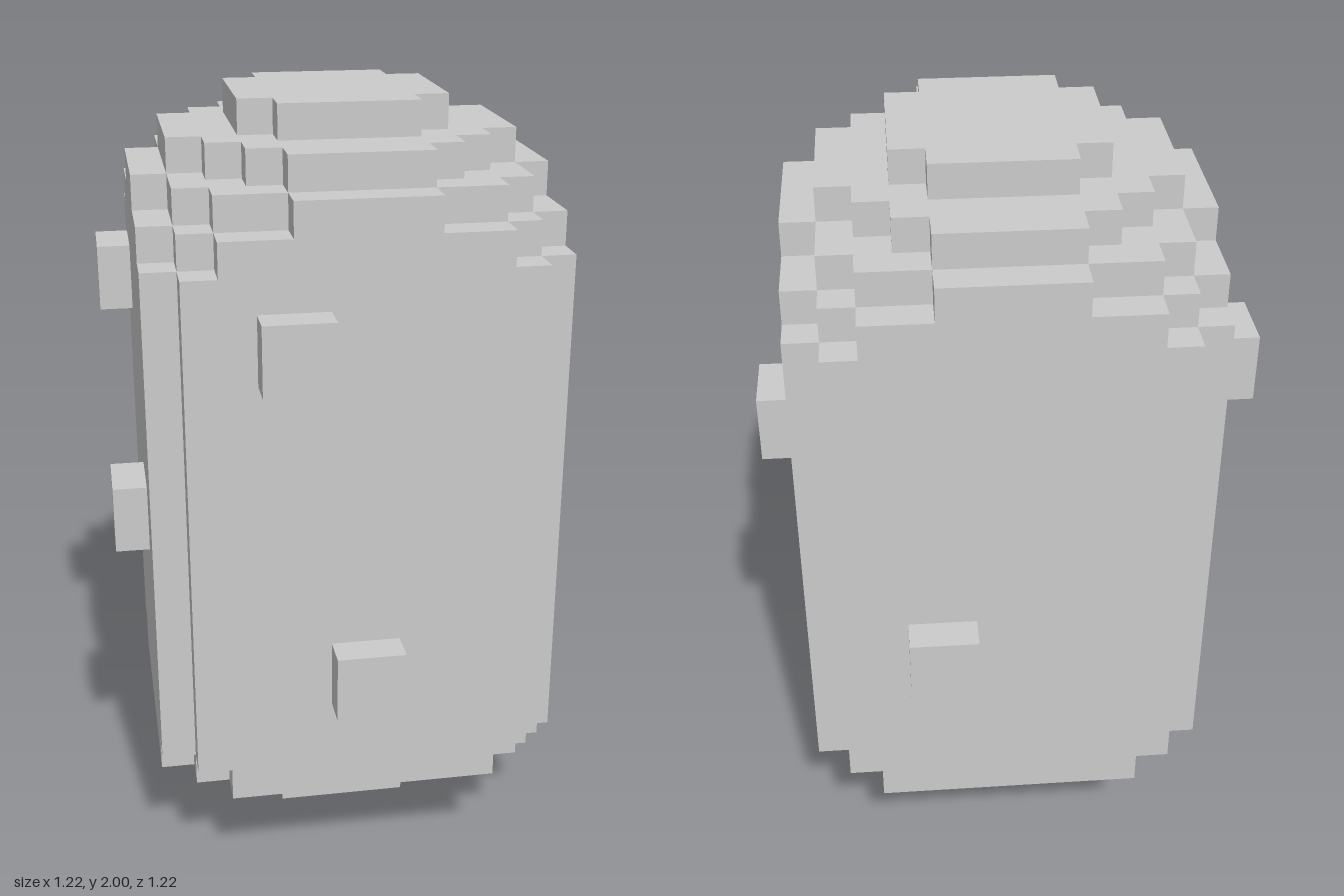
import * as THREE from 'three';

const U = 2 / 23; // one block

export function createModel() {
  const group = new THREE.Group();
  const material = new THREE.MeshStandardMaterial({ color: 0xcccccc, flatShading: true });

  const add = (name, geometry) => {
    const mesh = new THREE.Mesh(geometry, material);
    mesh.name = name;
    group.add(mesh);
  };

  // Box given by its lowest corner and size, in blocks
  const block = (name, [x, y, z], [w, h, d]) => {
    const geometry = new THREE.BoxGeometry(w * U, h * U, d * U);
    geometry.translate((x + w / 2) * U, (y + h / 2) * U, (z + d / 2) * U);
    add(name, geometry);
  };

  // Slab whose stepped corner outline is repeated in four quarter turns
  const layer = (name, y0, y1, corner) => {
    const points = [];
    for (let q = 0, turn = corner; q < 4; q++) {
      points.push(...turn.map(([x, y]) => new THREE.Vector2(x * U, y * U)));
      turn = turn.map(([x, y]) => [-y, x]);
    }
    const geometry = new THREE.ExtrudeGeometry(new THREE.Shape(points), {
      depth: (y1 - y0) * U, bevelEnabled: false,
    });
    geometry.rotateX(-Math.PI / 2);
    geometry.translate(0, y0 * U, 0);
    add(name, geometry);
  };

  // Stick below the body
  block('stick', [-2, 0, -2], [4, 3, 4]);

  // Body and its stepped, rounded top
  const rim = [[6, 4], [5, 4], [5, 5], [4, 5], [4, 6]];
  layer('bodyBottom', 3, 4, rim);
  layer('body', 4, 19, [[6, 5], [5, 5], [5, 6]]);
  layer('shoulderLower', 19, 20, rim);
  layer('shoulderUpper', 20, 21, [[6, 2], [5, 2], [5, 4], [4, 4], [4, 5], [2, 5], [2, 6]]);
  layer('crownLower', 21, 22, [[5, 2], [4, 2], [4, 3], [3, 3], [3, 4], [2, 4], [2, 5]]);
  layer('crownTop', 22, 23, [[3, 2], [2, 2], [2, 3]]);

  // Small bumps on the sides
  block('frontBumpUpper', [-3, 16, 6], [2, 2, 1]);
  block('frontBumpLower', [-1, 6, 6], [2, 2, 1]);
  block('backBump', [1, 8, -7], [2, 2, 1]);
  block('leftBump', [6, 14, -3], [1, 2, 2]);
  block('rightBumpUpper', [-7, 16, -4], [1, 2, 2]);
  block('rightBumpLower', [-7, 10, 1], [1, 2, 2]);

  return group;
}
